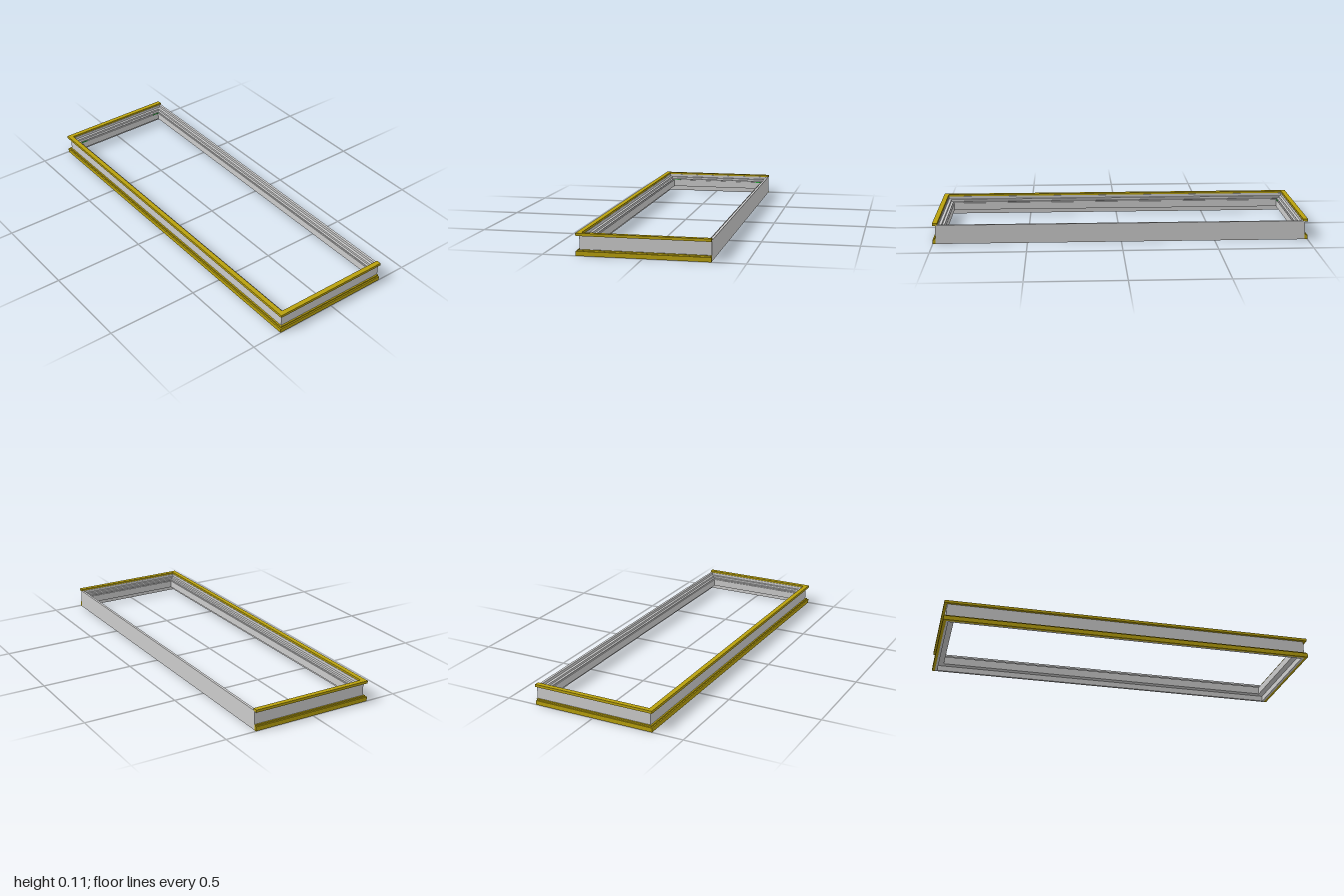
import * as THREE from 'three';

const grey = new THREE.MeshStandardMaterial({ color: 0xcccccc });
const gold = new THREE.MeshStandardMaterial({ color: 0xb8a00c });
const green = new THREE.MeshStandardMaterial({ color: 0x22aa33 });

// Plan corners of the frame: x, z, and how each moves per unit of inset
const ringPath = [
  [-0.985, -0.333, 1, 1], [-0.985, 0.317, 1, -1],
  [0.985, 0.317, -1, -1], [0.985, -0.333, -1, 1],
];
// The trim leaves the back open, so its ends are cut square there
const trimPath = ringPath.map(([x, z, ix, iz]) => [x, z, ix, z < 0 ? 0 : iz]);

// Sweeps a profile of [inset, height] points along a mitred path
function sweep(name, profile, path, closed, material) {
  const pos = [];
  const at = (c, [d, y]) => [c[0] + c[2] * d, y, c[1] + c[3] * d];
  const tri = (...pts) => pts.forEach((p) => pos.push(...p));
  const n = profile.length;
  const spans = closed ? path.length : path.length - 1;
  for (let s = 0; s < spans; s++) {
    const a = path[s], b = path[(s + 1) % path.length];
    for (let i = 0; i < n; i++) {
      const p = profile[i], q = profile[(i + 1) % n];
      tri(at(a, p), at(b, p), at(b, q));
      tri(at(a, p), at(b, q), at(a, q));
    }
  }
  if (!closed) {
    const first = path[0], last = path[path.length - 1];
    for (let i = 1; i < n - 1; i++) {
      tri(at(first, profile[0]), at(first, profile[i]), at(first, profile[i + 1]));
      tri(at(last, profile[0]), at(last, profile[i + 1]), at(last, profile[i]));
    }
  }
  const geo = new THREE.BufferGeometry();
  geo.setAttribute('position', new THREE.Float32BufferAttribute(pos, 3));
  geo.computeVertexNormals();
  const mesh = new THREE.Mesh(geo, material);
  mesh.name = name;
  return mesh;
}

const rect = (d0, d1, y0, y1) => [[d0, y0], [d0, y1], [d1, y1], [d1, y0]];

export function createModel() {
  const model = new THREE.Group();
  model.name = 'rectangularFrame';

  // Grey frame: thin outer wall, stepped ledges inside, raised inner lip
  const frameProfile = [
    [0, 0], [0, 0.102], [0.013, 0.102], [0.013, 0.087], [0.027, 0.087],
    [0.027, 0.076], [0.039, 0.076], [0.039, 0.07], [0.045, 0.07],
    [0.045, 0.03], [0.013, 0.03], [0.013, 0],
  ];
  model.add(sweep('frame', frameProfile, ringPath, true, grey));

  // Gold trim on the front and both sides
  model.add(sweep('topTrim', rect(-0.015, 0.011, 0.098, 0.112), trimPath, false, gold));
  model.add(sweep('baseTrim', rect(-0.015, 0.002, 0, 0.023), trimPath, false, gold));
  model.add(sweep('baseTrimStep', rect(-0.008, 0.002, 0.023, 0.03), trimPath, false, gold));

  // Small green markers at the inner corners of one end
  for (const z of [-0.27, 0.25]) {
    const marker = new THREE.Mesh(new THREE.BoxGeometry(0.004, 0.004, 0.04), green);
    marker.name = 'cornerMarker';
    marker.position.set(-0.941, 0.07, z);
    model.add(marker);
  }
  return model;
}
